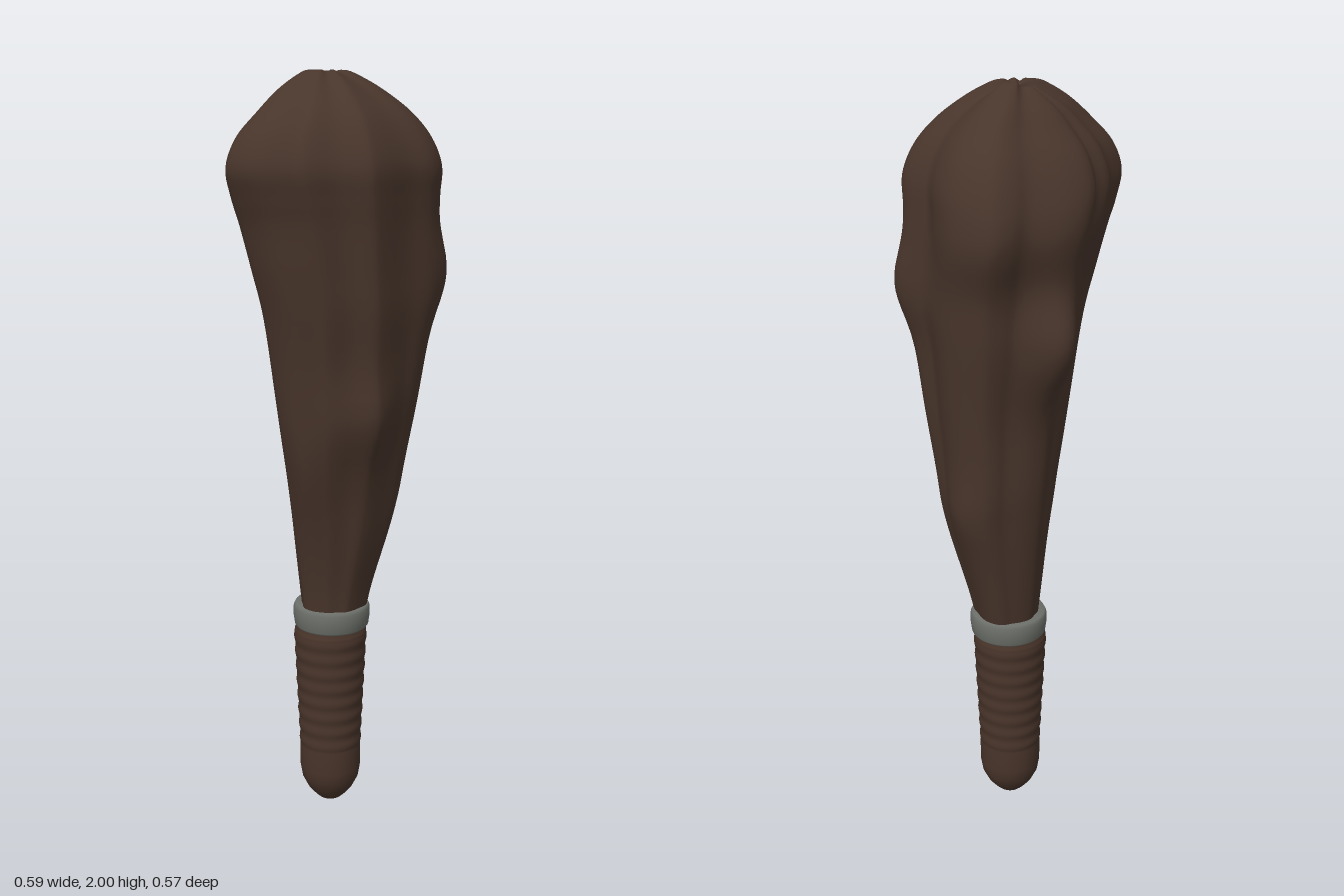
import * as THREE from 'three';

const material = (name, color) => {
  const m = new THREE.MeshStandardMaterial({ color });
  m.name = name;
  return m;
};

// Gnarled cross-section of the head as x, z pairs
const OUTLINE = [
  [0.265, 0.05], [0.26, 0.11], [0.24, 0.15], [0.2, 0.19], [0.13, 0.215], [0.03, 0.272], [0, 0.28],
  [-0.07, 0.25], [-0.15, 0.245], [-0.18, 0.225], [-0.255, 0.18], [-0.295, 0.1], [-0.29, 0.055],
  [-0.24, -0.02], [-0.225, -0.09], [-0.18, -0.14], [-0.17, -0.18], [-0.145, -0.21], [-0.09, -0.235],
  [0, -0.25], [0.045, -0.275], [0.095, -0.285], [0.15, -0.25], [0.19, -0.2], [0.21, -0.13],
  [0.215, -0.05], [0.23, -0.02],
];

// Reach of the head at each height: y, left (+x), right (-x), front (+z), back (-z)
const ROWS = [
  [0.56, 0.107, 0.07, 0.07, 0.112], [0.65, 0.128, 0.08, 0.083, 0.128], [0.8, 0.17, 0.1, 0.115, 0.153],
  [0.9, 0.192, 0.115, 0.135, 0.167], [1.0, 0.205, 0.13, 0.158, 0.18], [1.2, 0.232, 0.165, 0.2, 0.194],
  [1.4, 0.25, 0.2, 0.243, 0.218], [1.52, 0.255, 0.23, 0.257, 0.236], [1.63, 0.26, 0.257, 0.27, 0.276],
  [1.7, 0.263, 0.28, 0.28, 0.278], [1.77, 0.263, 0.295, 0.285, 0.255], [1.84, 0.235, 0.268, 0.26, 0.215],
  [1.9, 0.185, 0.212, 0.217, 0.16], [1.95, 0.125, 0.155, 0.155, 0.11], [1.985, 0.07, 0.1, 0.095, 0.06],
  [2.0, 0.03, 0.06, 0.055, 0.025], [1.985, -0.01, 0.01, 0.015, -0.015],
];

// Knots: direction x, z, height, push, angular width, vertical width
const KNOTS = [
  [0.29, 0.06, 1.5, 0.04, 0.45, 0.11],
  [0.04, 0.22, 1.14, 0.035, 0.5, 0.1],
  [-0.09, -0.24, 1.39, 0.082, 0.5, 0.13],
  [0.16, -0.12, 0.92, 0.014, 0.5, 0.1],
  [-0.12, 0.14, 1.02, 0.026, 0.55, 0.2],
];

function headGeometry() {
  const segments = 96, steps = 80;
  const section = new THREE.CatmullRomCurve3(OUTLINE.map(([x, z]) => new THREE.Vector3(x, 0, z)), true);
  const columns = [1, 2, 3, 4].map(c => new THREE.SplineCurve(ROWS.map(r => new THREE.Vector2(r[0], r[c]))));
  const positions = [], index = [];
  for (let i = 0; i <= steps; i++) {
    const t = i / steps;
    const [l, r, f, b] = columns.map(c => c.getPoint(t).y);
    const y = columns[0].getPoint(t).x;
    // Lobes fade into a rounder neck and deepen into creases at the crown
    const gnarl = THREE.MathUtils.lerp(0.45, 1, THREE.MathUtils.smoothstep(y, 0.6, 1.6));
    const crown = THREE.MathUtils.smoothstep(t, 0.72, 0.92);
    for (let j = 0; j < segments; j++) {
      const p = section.getPoint(j / segments);
      const u = (p.x + 0.015) / 0.28, v = (p.z + 0.0025) / 0.2825;
      const angle = Math.atan2(v, u), radius = Math.hypot(u, v);
      const k = 1 + (radius - 1) * gnarl;
      const x0 = (l - r) / 2 + (l + r) / 2 * k * Math.cos(angle);
      const z0 = (f - b) / 2 + (f + b) / 2 * k * Math.sin(angle);
      let x = x0, z = z0;
      for (const [kx, kz, ky, push, wa, wy] of KNOTS) {
        let d = Math.atan2(z0, x0) - Math.atan2(kz, kx);
        d = Math.atan2(Math.sin(d), Math.cos(d));
        const g = push * Math.exp(-((d / wa) ** 2) - ((y - ky) / wy) ** 2);
        x += g * kx / Math.hypot(kx, kz);
        z += g * kz / Math.hypot(kx, kz);
      }
      const dip = i === steps ? 0 : crown * 0.1 * Math.max(0, 0.98 - radius);
      positions.push(x, y - dip, z);
      if (i < steps) {
        const a = i * segments + j, c = i * segments + (j + 1) % segments;
        index.push(a, a + segments, c, c, a + segments, c + segments);
      }
    }
  }
  const g = new THREE.BufferGeometry();
  g.setAttribute('position', new THREE.Float32BufferAttribute(positions, 3));
  g.setIndex(index);
  g.computeVertexNormals();
  return g;
}

// Grip with a rounded butt and soft wrapped ridges
function gripGeometry() {
  const profile = [[0, 0], [0.032, 0], [0.045, 0.012], [0.064, 0.035], [0.079, 0.065], [0.085, 0.1], [0.085, 0.16]];
  const wraps = 8, detail = 8;
  for (let i = 1; i <= wraps * detail; i++) {
    const t = i / (wraps * detail);
    const ridge = 0.003 * Math.sin(t * wraps * Math.PI) ** 2;
    profile.push([0.083 + 0.016 * t + ridge, 0.16 + 0.35 * t]);
  }
  profile.push([0.093, 0.52], [0.085, 0.56]);
  return new THREE.LatheGeometry(profile.map(([r, y]) => new THREE.Vector2(r, y)), 40);
}

// Metal collar with softened rims
function collarGeometry() {
  const profile = [[0.08, 0.522], [0.097, 0.521], [0.102, 0.527], [0.106, 0.555], [0.105, 0.577], [0.1, 0.587], [0.08, 0.588]];
  return new THREE.LatheGeometry(profile.map(([r, y]) => new THREE.Vector2(r, y)), 40);
}

export function createModel() {
  const wood = material('dark wood', 0x48352b);
  const wrap = material('grip brown', 0x48342a);
  const metal = material('dull metal', 0x6c6f69);
  const group = new THREE.Group();
  group.name = 'club';
  const add = (name, geometry, mat, x = 0, z = 0) => {
    const mesh = new THREE.Mesh(geometry, mat);
    mesh.name = name;
    mesh.position.set(x, 0, z);
    group.add(mesh);
  };
  add('head', headGeometry(), wood);
  add('grip', gripGeometry(), wrap, 0.014, -0.022);
  add('collar', collarGeometry(), metal, 0.018, -0.023);
  return group;
}
